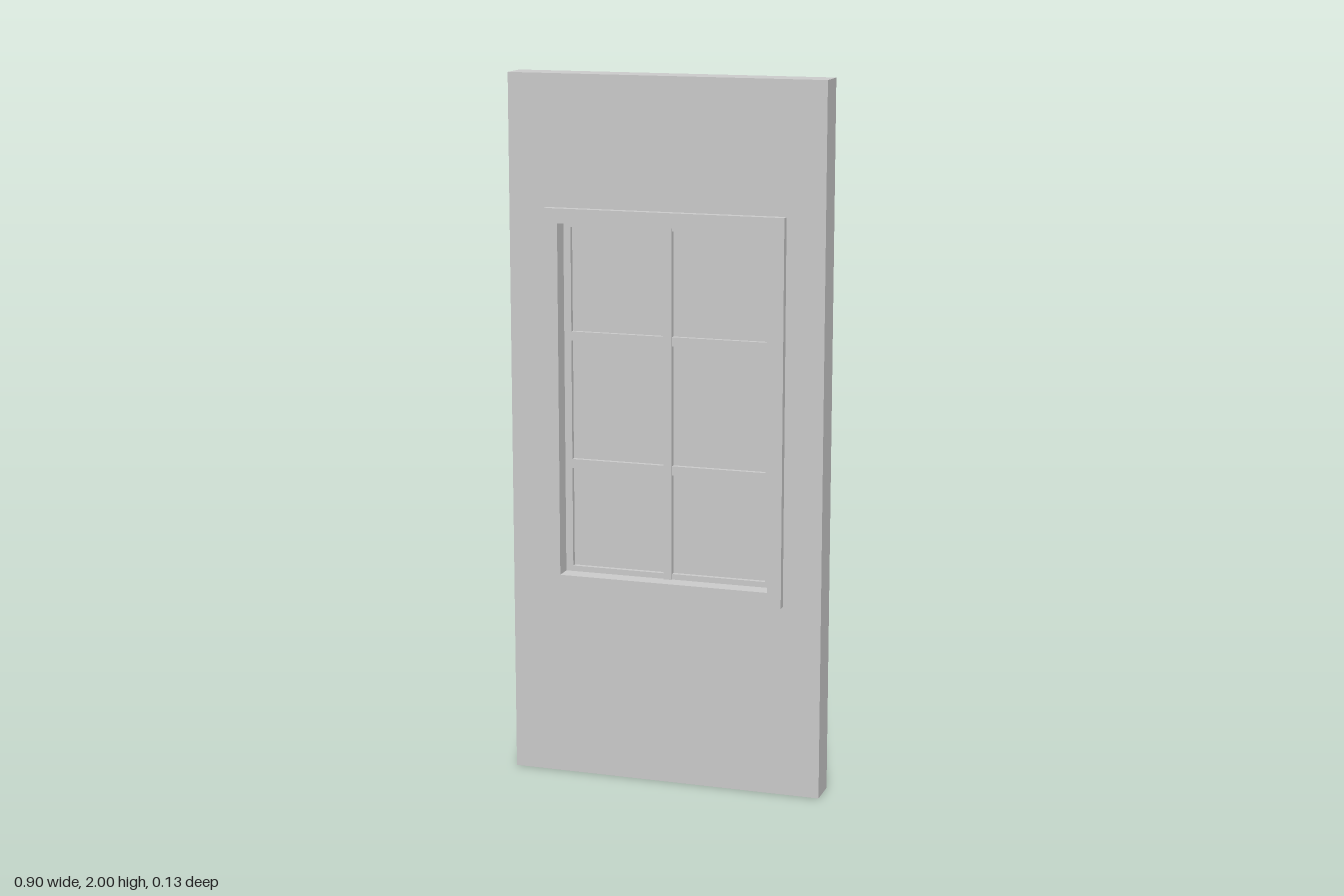
import * as THREE from 'three';

const material = new THREE.MeshStandardMaterial({ color: 0xcccccc });

// Rectangle outline from x0,y0 to x1,y1
function rectangle(Type, [x0, y0, x1, y1]) {
  return new Type([[x0, y0], [x1, y0], [x1, y1], [x0, y1]].map(([x, y]) => new THREE.Vector2(x, y)));
}

// Flat panel with an opening, centred on z = 0
function panel(name, outer, opening, depth) {
  const shape = rectangle(THREE.Shape, outer);
  shape.holes.push(rectangle(THREE.Path, opening));
  const geometry = new THREE.ExtrudeGeometry(shape, { depth, bevelEnabled: false });
  geometry.translate(0, 0, -depth / 2);
  const mesh = new THREE.Mesh(geometry, material);
  mesh.name = name;
  return mesh;
}

// Box filling a rectangle, centred on z = 0
function bar(name, [x0, y0, x1, y1], depth) {
  const mesh = new THREE.Mesh(new THREE.BoxGeometry(x1 - x0, y1 - y0, depth), material);
  mesh.position.set((x0 + x1) / 2, (y0 + y1) / 2, 0);
  mesh.name = name;
  return mesh;
}

export function createModel() {
  const group = new THREE.Group();
  group.name = 'windowWall';

  const wallEdge = [-0.452, 0, 0.452, 2];
  const frameEdge = [-0.343, 0.548, 0.343, 1.633];
  const sashEdge = [-0.304, 0.591, 0.304, 1.592];
  const glassEdge = [-0.283, 0.607, 0.283, 1.576];

  // Wall, and the frame standing proud of it on both faces
  group.add(panel('wall', wallEdge, frameEdge, 0.09));
  group.add(panel('windowFrame', frameEdge, sashEdge, 0.134));

  // Sash with its glass
  group.add(panel('sash', sashEdge, glassEdge, 0.034));
  group.add(bar('glass', glassEdge, 0.008));

  // Glazing bars: the upright one runs in front of the cross bars
  group.add(bar('uprightBar', [-0.012, sashEdge[1], 0.012, sashEdge[3]], 0.044));
  for (const y of [0.905, 1.27]) {
    group.add(bar('crossBar', [glassEdge[0], y - 0.013, glassEdge[2], y + 0.013], 0.034));
  }
  return group;
}
